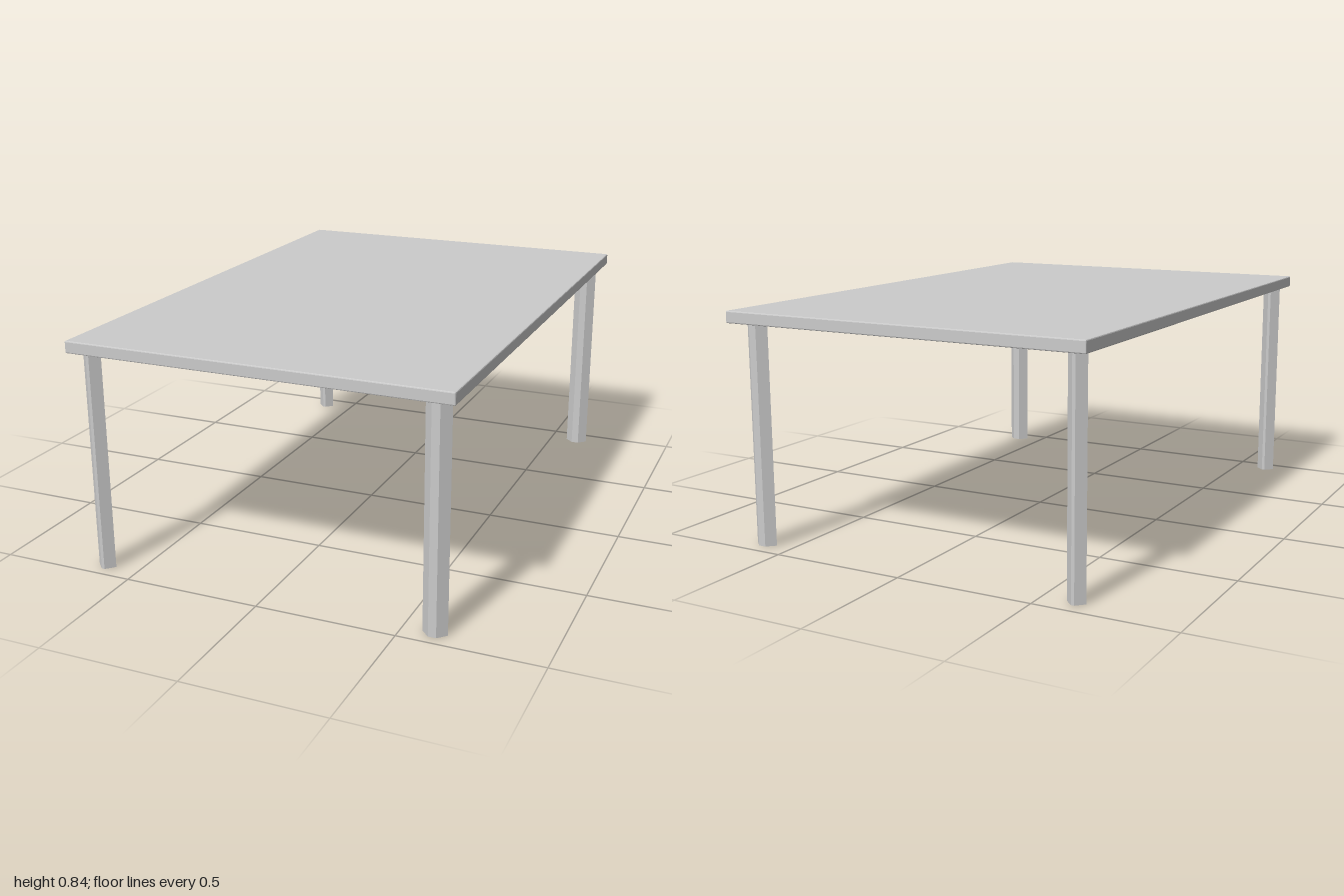
import * as THREE from 'three';
import { RoundedBoxGeometry } from 'three/addons/geometries/RoundedBoxGeometry.js';

const material = new THREE.MeshStandardMaterial({ color: 0xcccccc, flatShading: true });
const TOP_BOTTOM = 0.8;
const TOP_HEIGHT = 0.843;

// Six-sided leg: flat front and back, pointed towards the sides
function makeLeg(name, x, z, halfWidth, halfFlat, halfDepth) {
  const section = new THREE.Shape([
    [halfWidth, 0], [halfFlat, halfDepth], [-halfFlat, halfDepth],
    [-halfWidth, 0], [-halfFlat, -halfDepth], [halfFlat, -halfDepth],
  ].map(([px, py]) => new THREE.Vector2(px, py)));
  const geometry = new THREE.ExtrudeGeometry(section, { depth: TOP_BOTTOM, bevelEnabled: false });
  geometry.rotateX(-Math.PI / 2);
  const leg = new THREE.Mesh(geometry, material);
  leg.name = name;
  leg.position.set(x, 0, z);
  return leg;
}

export function createModel() {
  const table = new THREE.Group();
  table.name = 'table';

  // Thin slab with a very fine edge chamfer
  const thickness = TOP_HEIGHT - TOP_BOTTOM;
  const top = new THREE.Mesh(new RoundedBoxGeometry(1.37, thickness, 2, 1, 0.004), material);
  top.name = 'tabletop';
  top.position.y = TOP_BOTTOM + thickness / 2;
  table.add(top);

  // The legs on the left are wider than those on the right
  table.add(
    makeLeg('frontLeftLeg', 0.612, 0.935, 0.0435, 0.014, 0.03),
    makeLeg('backLeftLeg', 0.612, -0.924, 0.0435, 0.014, 0.028),
    makeLeg('frontRightLeg', -0.625, 0.935, 0.035, 0.0055, 0.03),
    makeLeg('backRightLeg', -0.622, -0.925, 0.034, 0.0055, 0.028),
  );
  return table;
}
